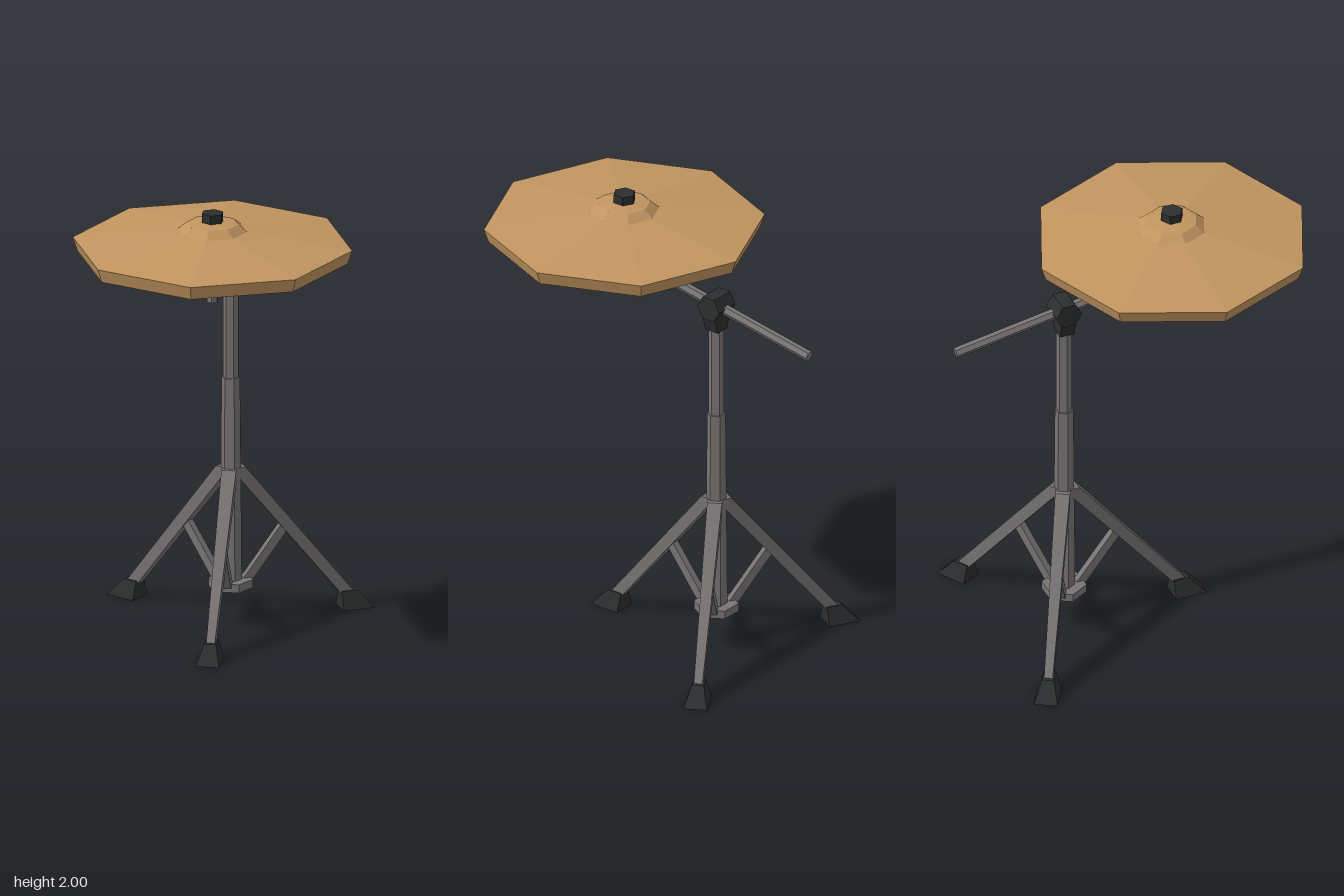
import * as THREE from 'three';

const mat = (name, color) => new THREE.MeshStandardMaterial({ name, color, flatShading: true });

export function createModel() {
  const metal = mat('steel grey', 0x787474);
  const black = mat('rubber black', 0x2c2e2f);
  const bronze = mat('bronze', 0xc29560);
  const model = new THREE.Group();
  model.name = 'cymbalStand';

  const add = (parent, name, geometry, material, x = 0, y = 0, z = 0) => {
    const mesh = new THREE.Mesh(geometry, material);
    mesh.name = name;
    mesh.position.set(x, y, z);
    parent.add(mesh);
    return mesh;
  };

  // Four-sided bar between two level rectangles, each { y, z: [near, far], w }
  const bar = (low, high) => {
    const g = new THREE.BoxGeometry(1, 1, 1);
    const p = g.attributes.position;
    for (let i = 0; i < p.count; i++) {
      const end = p.getY(i) > 0 ? high : low;
      p.setXYZ(i, Math.sign(p.getX(i)) * end.w / 2, end.y, end.z[p.getZ(i) > 0 ? 1 : 0]);
    }
    return g;
  };

  // Upright tube with corners pointing to the sides
  const tube = (rTop, rBottom, y0, y1) =>
    new THREE.CylinderGeometry(rTop, rBottom, y1 - y0, 6).rotateY(Math.PI / 6).translate(0, (y0 + y1) / 2, 0);

  // Stand
  const stand = new THREE.Group();
  stand.name = 'stand';
  stand.position.z = -0.3;
  model.add(stand);
  add(stand, 'lowerTube', tube(0.04, 0.048, 0.17, 1.1), metal);
  add(stand, 'upperTube', tube(0.034, 0.034, 1.09, 1.54), metal);
  add(stand, 'baseCollar', tube(0.097, 0.097, 0.155, 0.192), metal);

  // Tripod: leg, brace and foot repeated three times
  for (let i = 0; i < 3; i++) {
    const leg = new THREE.Group();
    leg.name = 'tripodLeg' + (i + 1);
    leg.rotation.y = i * Math.PI * 2 / 3;
    stand.add(leg);
    add(leg, 'leg', bar({ y: 0.05, z: [0.515, 0.578], w: 0.036 }, { y: 0.695, z: [-0.01, 0.057], w: 0.064 }), metal);
    add(leg, 'brace', bar({ y: 0.175, z: [0.04, 0.09], w: 0.032 }, { y: 0.41, z: [0.222, 0.272], w: 0.032 }), metal);
    add(leg, 'foot', bar({ y: 0, z: [0.5, 0.642], w: 0.102 }, { y: 0.08, z: [0.5, 0.57], w: 0.052 }), black);
  }

  // Tilting clamp
  add(stand, 'clampDrum', new THREE.CylinderGeometry(0.06, 0.06, 0.112, 6).rotateZ(Math.PI / 2), black, 0, 1.62);
  add(stand, 'clampNeck', bar({ y: 1.505, z: [-0.033, 0.033], w: 0.068 }, { y: 1.58, z: [-0.033, 0.033], w: 0.11 }), black);

  // Boom arm
  const from = new THREE.Vector3(0, 1.708, 0.2), to = new THREE.Vector3(0, 1.532, -0.805);
  const arm = add(model, 'boomArm',
    new THREE.CylinderGeometry(0.0235, 0.0235, from.distanceTo(to), 6).rotateY(Math.PI / 6).rotateX(Math.PI / 2), metal);
  arm.position.copy(from).lerp(to, 0.5);
  arm.rotation.x = -Math.atan2(from.y - to.y, from.z - to.z);

  // Cymbal holder
  add(model, 'holderBlock', new THREE.CylinderGeometry(0.055, 0.055, 0.062, 4).rotateZ(Math.PI / 2), metal, 0, 1.7, 0.2);
  add(model, 'holderRod', new THREE.CylinderGeometry(0.025, 0.025, 0.35, 6), metal, 0, 1.775, 0.2);

  // Cymbal, hollow underneath
  const profile = [[0, 1.885], [0.585, 1.8], [0.605, 1.86], [0.15, 1.922], [0.112, 1.953], [0, 1.967]]
    .map(([r, y]) => new THREE.Vector2(r, y));
  add(model, 'cymbal', new THREE.LatheGeometry(profile, 8), bronze, 0, 0, 0.2);
  add(model, 'topNut', new THREE.CylinderGeometry(0.049, 0.049, 0.05, 6), black, 0, 1.975, 0.2);

  return model;
}
